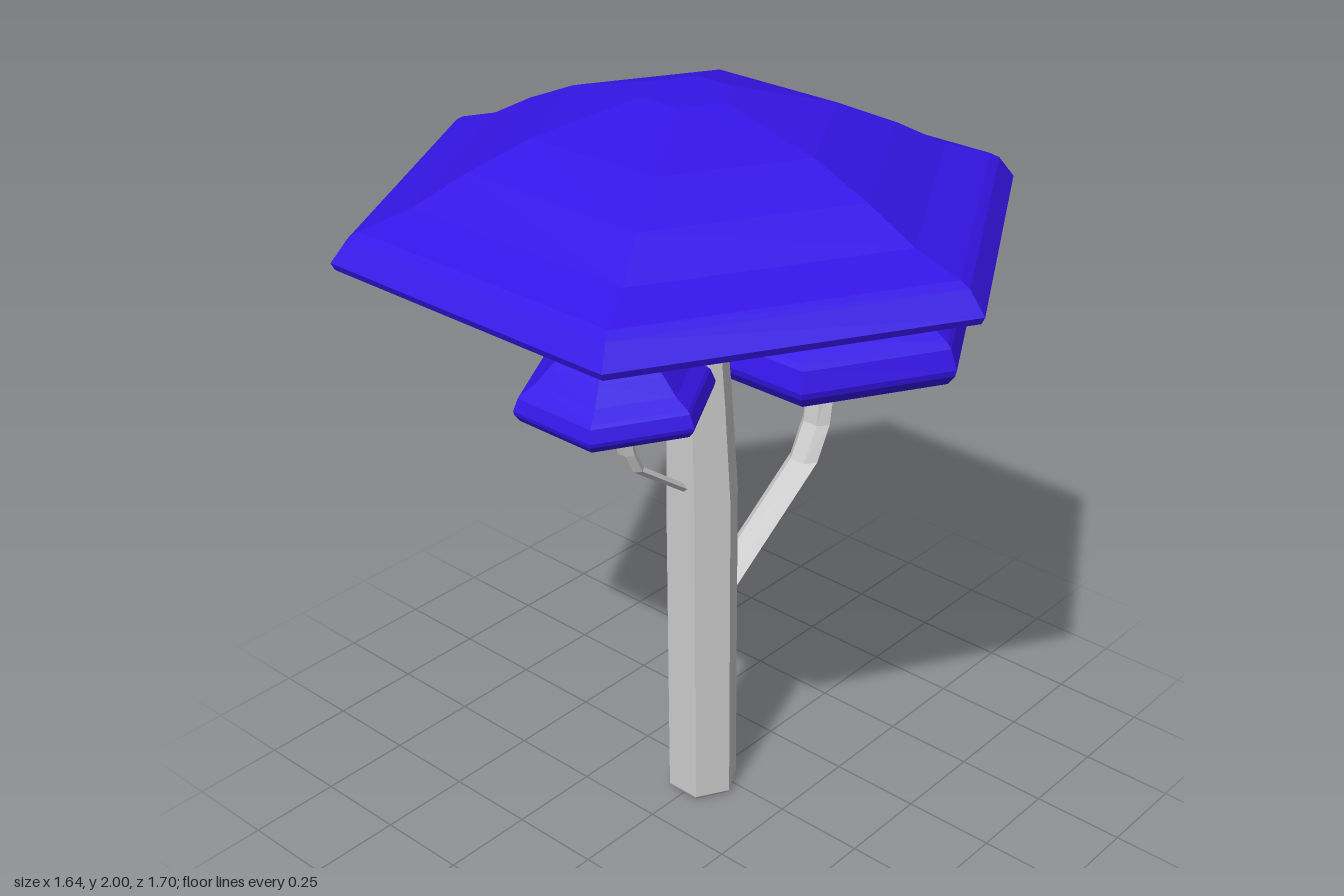
import * as THREE from 'three';

const SIDES = 6;
const wood = new THREE.MeshStandardMaterial({ color: 0xcccccc, flatShading: true });
const blue = new THREE.MeshStandardMaterial({ color: 0x3514e6, flatShading: true });

// Hexagonal limb through horizontal rings [x, y, halfWidthX, radiusZ], listed from bottom to top
function limb(name, rings) {
  const n = rings.length - 1;
  const geo = new THREE.CylinderGeometry(1, 1, n, SIDES, n);
  const p = geo.attributes.position;
  const flat = Math.cos(Math.PI / SIDES);
  for (let i = 0; i < p.count; i++) {
    const [x, y, w, r] = rings[Math.round(p.getY(i) + n / 2)];
    p.setXYZ(i, x + (p.getX(i) / flat) * w, y, p.getZ(i) * r);
  }
  geo.computeVertexNormals();
  const mesh = new THREE.Mesh(geo, wood);
  mesh.name = name;
  return mesh;
}

// Hollow hexagonal cap: conical underside, bevelled lip, stepped dome with a flat top
function cap(name, x, y, radius, height, lip) {
  const profile = [
    [0, 0.83], [0.1, 0.81], [lip - 0.06, 0.06], [lip - 0.03, 0], [lip, 0],
    [0.99, 0.08], [1, 0.13], [0.95, 0.28], [0.92, 0.32], [0.775, 0.43],
    [0.62, 0.625], [0.44, 0.81], [0.135, 1], [0, 1],
  ].map(([r, h]) => new THREE.Vector2(r * radius, h * height));
  const mesh = new THREE.Mesh(new THREE.LatheGeometry(profile, SIDES), blue);
  mesh.position.set(x, y, 0);
  mesh.name = name;
  return mesh;
}

export function createModel() {
  const model = new THREE.Group();
  model.name = 'mushroomTree';

  // Trunk: straight below, then leaning and tapering into the top cap
  model.add(limb('trunk', [
    [-0.043, 0, 0.078, 0.088],
    [-0.043, 0.01, 0.084, 0.096],
    [-0.043, 0.92, 0.084, 0.096],
    [-0.053, 1.2, 0.075, 0.086],
    [-0.073, 1.65, 0.057, 0.065],
    [-0.085, 1.92, 0.045, 0.052],
  ]));

  // Branches reaching up into the side caps
  model.add(limb('leftBranch', [
    [0.03, 0.605, 0.03, 0.045],
    [0.372, 0.85, 0.029, 0.046],
    [0.422, 0.945, 0.027, 0.046],
    [0.462, 1.18, 0.037, 0.045],
    [0.462, 1.41, 0.035, 0.04],
  ]));
  model.add(limb('rightBranch', [
    [-0.1, 0.955, 0.016, 0.025],
    [-0.29, 1.095, 0.018, 0.026],
    [-0.317, 1.15, 0.018, 0.026],
    [-0.352, 1.3, 0.021, 0.025],
    [-0.352, 1.43, 0.019, 0.023],
  ]));

  // Caps
  model.add(cap('topCap', -0.088, 1.645, 0.848, 0.355, 0.86));
  model.add(cap('leftCap', 0.455, 1.175, 0.422, 0.355, 0.94));
  model.add(cap('rightCap', -0.35, 1.29, 0.25, 0.21, 0.94));

  return model;
}
